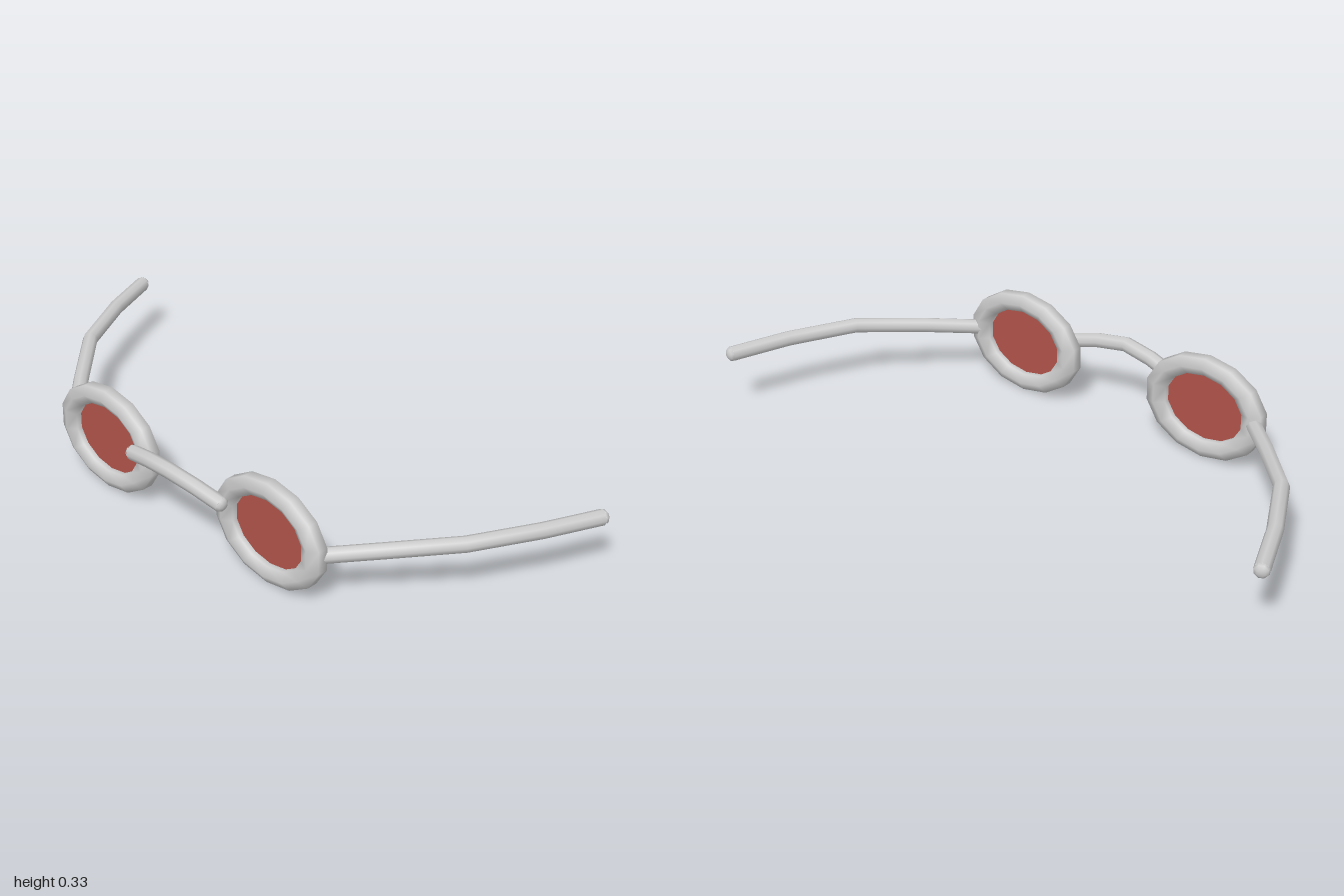
import * as THREE from 'three';
import { mergeVertices } from 'three/addons/utils/BufferGeometryUtils.js';

const metal = new THREE.MeshStandardMaterial({ color: 0xcccccc });
const glass = new THREE.MeshStandardMaterial({ color: 0xb0544a, side: THREE.DoubleSide });
const SEGMENTS = 14;
const WIRE = 0.024;

// Round wire passing exactly through the given points, with domed ends.
function wire(name, points) {
  const group = new THREE.Group();
  group.name = name;
  const path = new THREE.CatmullRomCurve3(points.map(p => new THREE.Vector3(...p)));
  path.getPointAt = path.getPoint;
  path.getTangentAt = path.getTangent;
  const rod = new THREE.Mesh(new THREE.TubeGeometry(path, points.length - 1, WIRE, 8), metal);
  rod.name = name + 'Rod';
  group.add(rod);
  for (const t of [0, 1]) {
    const cap = new THREE.Mesh(new THREE.SphereGeometry(WIRE, 8, 3, 0, Math.PI * 2, 0, Math.PI / 2), metal);
    cap.name = name + 'End';
    const out = path.getTangent(t).multiplyScalar(t ? 1 : -1);
    cap.quaternion.setFromUnitVectors(new THREE.Vector3(0, 1, 0), out);
    cap.scale.y = 0.7;
    cap.position.copy(path.getPoint(t));
    group.add(cap);
  }
  return group;
}

// Oval rim: a hexagonal section swept round a ring, then widened sideways.
function rimGeometry() {
  const section = [];
  for (let i = 0; i <= 6; i++) {
    const a = (i / 6) * Math.PI * 2 + Math.PI / 2;
    section.push(new THREE.Vector2(0.139 + 0.032 * Math.cos(a), 0.033 * Math.sin(a)));
  }
  section[6].copy(section[0]);
  let geo = new THREE.LatheGeometry(section, SEGMENTS);
  geo.rotateX(Math.PI / 2);
  geo.scale(1.26, 1, 1);
  // Weld the seams so the whole ring shades smoothly
  geo.deleteAttribute('uv');
  geo.deleteAttribute('normal');
  geo = mergeVertices(geo, 1e-4);
  geo.computeVertexNormals();
  return geo;
}

export function createModel() {
  const model = new THREE.Group();
  model.name = 'spectacles';
  const rimGeo = rimGeometry();
  const lensGeo = new THREE.CircleGeometry(0.139, SEGMENTS, Math.PI / 2);
  lensGeo.scale(1.26, 1, 1);

  for (const [side, s] of [['left', 1], ['right', -1]]) {
    const rim = new THREE.Mesh(rimGeo, metal);
    rim.name = side + 'Rim';
    rim.position.set(s * 0.345, 0.167, 0.303);

    const lens = new THREE.Mesh(lensGeo, glass);
    lens.name = side + 'Lens';
    lens.position.copy(rim.position);

    // Temple arm, spreading outward toward the back
    const arm = wire(side + 'Arm', [
      [s * 0.52, 0.168, 0.295],
      [s * 0.648, 0.186, 0.165],
      [s * 0.8, 0.204, 0],
      [s * 0.905, 0.205, -0.2],
      [s * 0.977, 0.201, -0.378],
    ]);
    model.add(rim, lens, arm);
  }

  // Nose bridge, bowed up and forward
  model.add(wire('bridge', [
    [-0.19, 0.203, 0.347],
    [-0.1, 0.225, 0.361],
    [0, 0.238, 0.371],
    [0.1, 0.225, 0.361],
    [0.19, 0.203, 0.347],
  ]));
  return model;
}
